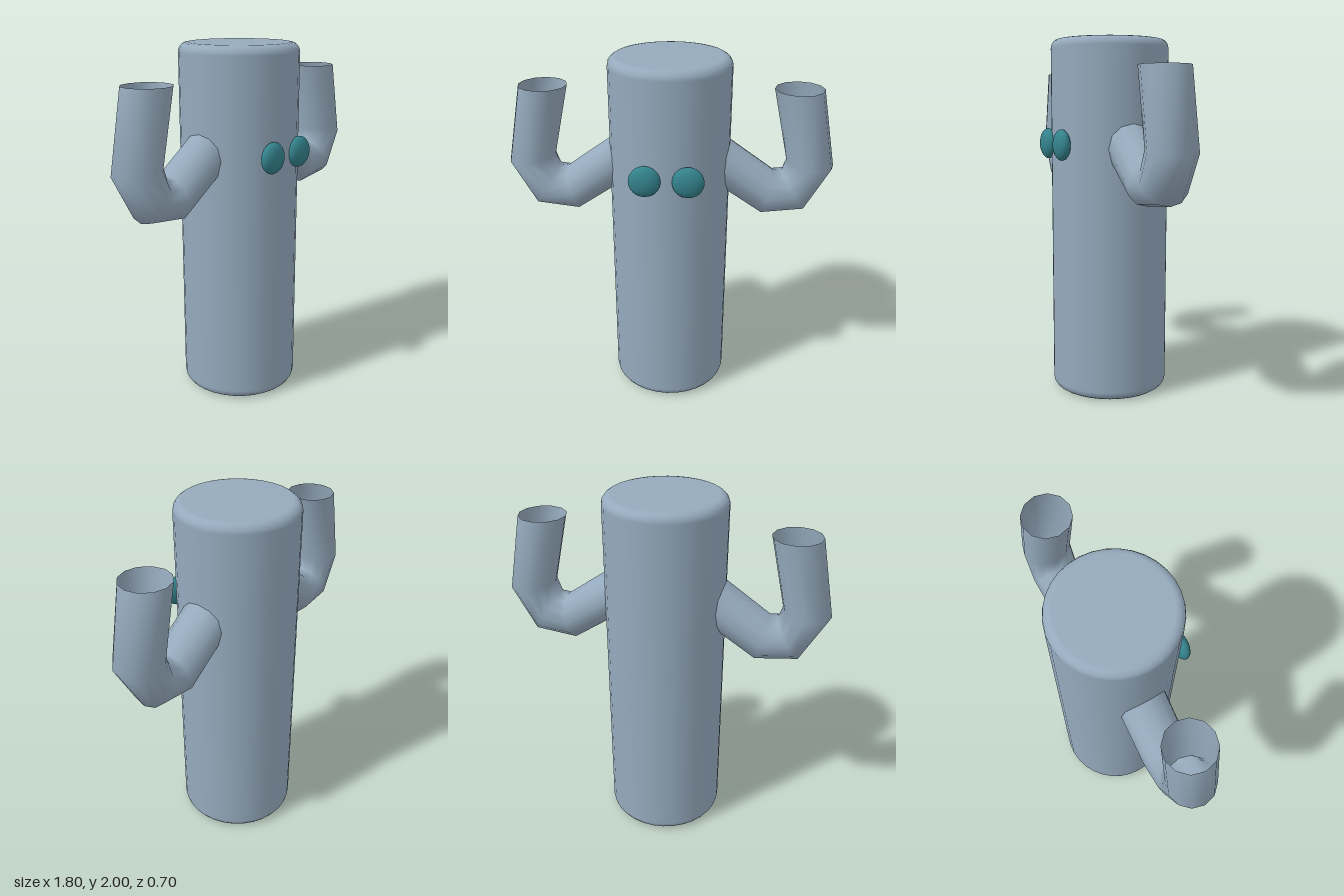
import * as THREE from 'three';

const skin = new THREE.MeshStandardMaterial({ color: 0x95aabd });
const skinOpen = new THREE.MeshStandardMaterial({ color: 0x95aabd, side: THREE.DoubleSide });
const teal = new THREE.MeshStandardMaterial({ color: 0x34838d });

const AXIS_Z = -0.02;

function add(parent, name, geometry, material) {
  const mesh = new THREE.Mesh(geometry, material);
  mesh.name = name;
  parent.add(mesh);
  return mesh;
}

// Upright cylinder with rounded rims
function bodyGeometry(radius, height, bevel) {
  const pts = [new THREE.Vector2(0, 0)];
  const steps = 4;
  for (const top of [false, true]) {
    for (let i = 0; i <= steps; i++) {
      const a = (i / steps) * Math.PI / 2 + (top ? 0 : -Math.PI / 2);
      pts.push(new THREE.Vector2(
        radius - bevel + bevel * Math.cos(a),
        (top ? height - bevel : bevel) + bevel * Math.sin(a)));
    }
  }
  pts.push(new THREE.Vector2(0, height));
  return new THREE.LatheGeometry(pts, 32);
}

// Arm cross-sections from body to open tip: outer x, y and inner x, y
const ARM_SECTIONS = [
  [0.14, 1.365, 0.28, 1.575],
  [0.51, 1.118, 0.575, 1.365],
  [0.757, 1.148, 0.62, 1.37],
  [0.899, 1.40, 0.64, 1.435],
  [0.817, 1.83, 0.553, 1.83],
];

// Bent open tube skinned through the sections; side is +1 or -1
function armGeometry(side) {
  const sides = 12, depth = 0.133, pos = [], index = [];
  for (const [ox, oy, ix, iy] of ARM_SECTIONS) {
    for (let j = 0; j < sides; j++) {
      const a = (j / sides) * Math.PI * 2, c = Math.cos(a) / 2;
      pos.push(
        side * ((ox + ix) / 2 + (ox - ix) * c),
        (oy + iy) / 2 + (oy - iy) * c,
        AXIS_Z + depth * Math.sin(a));
    }
  }
  for (let i = 0; i < ARM_SECTIONS.length - 1; i++) {
    for (let j = 0; j < sides; j++) {
      const k = (j + 1) % sides;
      const a = i * sides + j, b = i * sides + k, c = a + sides, d = b + sides;
      if (side > 0) index.push(a, c, b, b, c, d);
      else index.push(a, b, c, b, d, c);
    }
  }
  const g = new THREE.BufferGeometry();
  g.setAttribute('position', new THREE.Float32BufferAttribute(pos, 3));
  g.setIndex(index);
  g.computeVertexNormals();
  return g;
}

export function createModel() {
  const model = new THREE.Group();
  model.name = 'tubeCreature';

  add(model, 'body', bodyGeometry(0.331, 2, 0.05), skin).position.z = AXIS_Z;

  for (const side of [1, -1]) {
    const label = side > 0 ? 'left' : 'right';
    add(model, label + 'Arm', armGeometry(side), skinOpen);

    // Flattened oval eye
    const eye = add(model, label + 'Eye', new THREE.SphereGeometry(1, 32, 16), teal);
    eye.scale.set(0.085, 0.085, 0.043);
    eye.position.set(side * 0.114, 1.422, 0.31);
  }
  return model;
}
